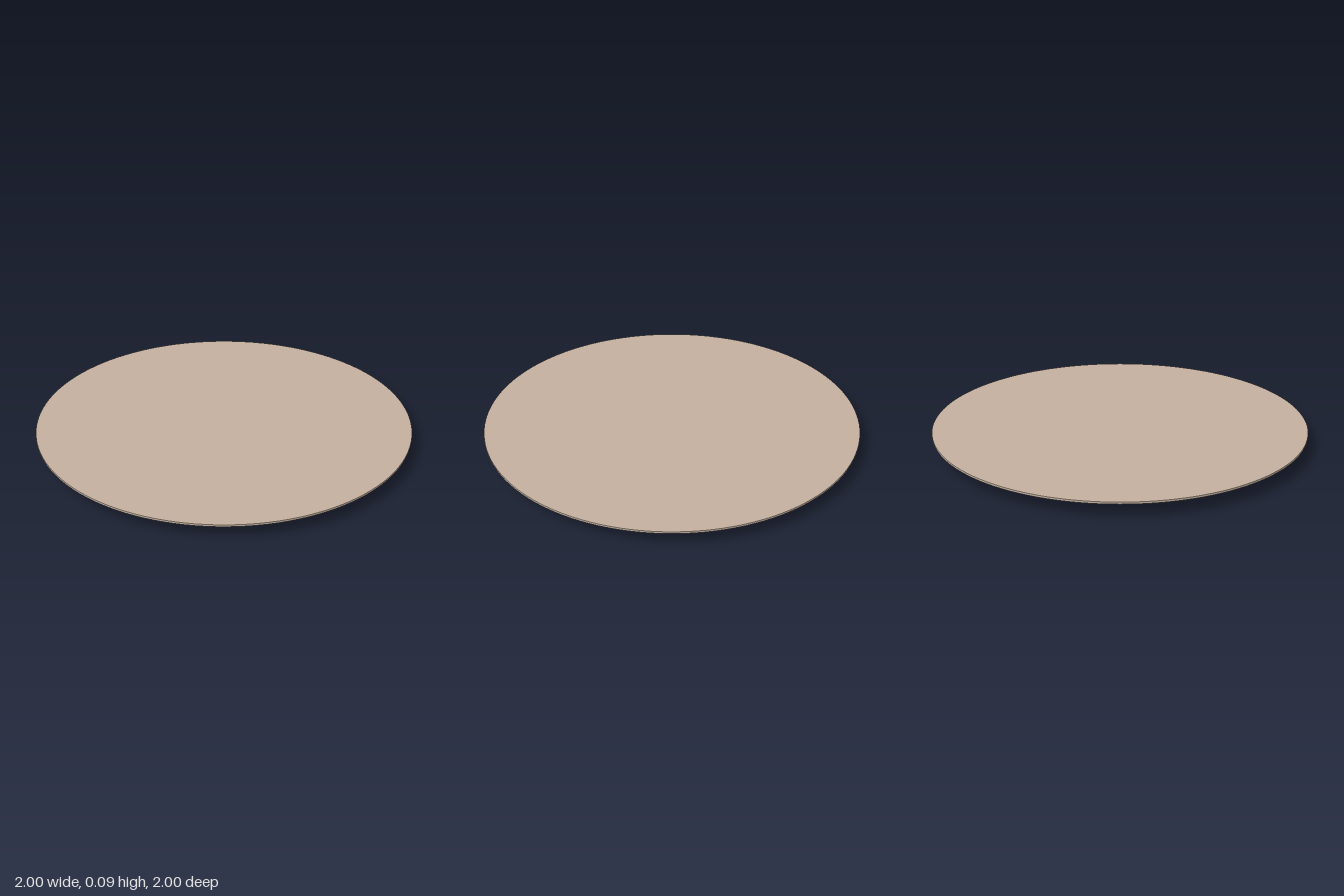
import * as THREE from 'three';

const SEGMENTS = 128;

export function createModel() {
  const model = new THREE.Group();
  model.name = 'steppedRoundPlatform';
  const stone = new THREE.MeshStandardMaterial({ color: 0xc4b0a0 });

  const add = (name, geometry, y) => {
    const mesh = new THREE.Mesh(geometry, stone);
    mesh.name = name;
    mesh.position.y = y;
    model.add(mesh);
  };

  // Stacked round tiers, widening upwards to the top disc
  const radii = [0.605, 0.682, 0.762, 0.842, 0.92, 1];
  const foot = 0.023;
  const step = 0.0107;
  radii.forEach((r, i) => {
    const name = i === radii.length - 1 ? 'topDisc' : `tier${i + 1}`;
    add(name, new THREE.CylinderGeometry(r, r, step, SEGMENTS), foot + step * (i + 0.5));
  });

  // Shallow tapered foot under the smallest tier
  add('taperedFoot', new THREE.CylinderGeometry(0.46, 0.235, foot, SEGMENTS), foot / 2);

  // Thin sliver inlay, almost flush with the top
  const sliver = new THREE.Shape([
    new THREE.Vector2(0.708, 0.59),
    new THREE.Vector2(0.711, 0.214),
    new THREE.Vector2(0.735, 0.555),
  ]);
  const inlay = new THREE.ShapeGeometry(sliver).rotateX(-Math.PI / 2);
  add('sliverInlay', inlay, foot + step * radii.length + 0.0005);

  return model;
}
